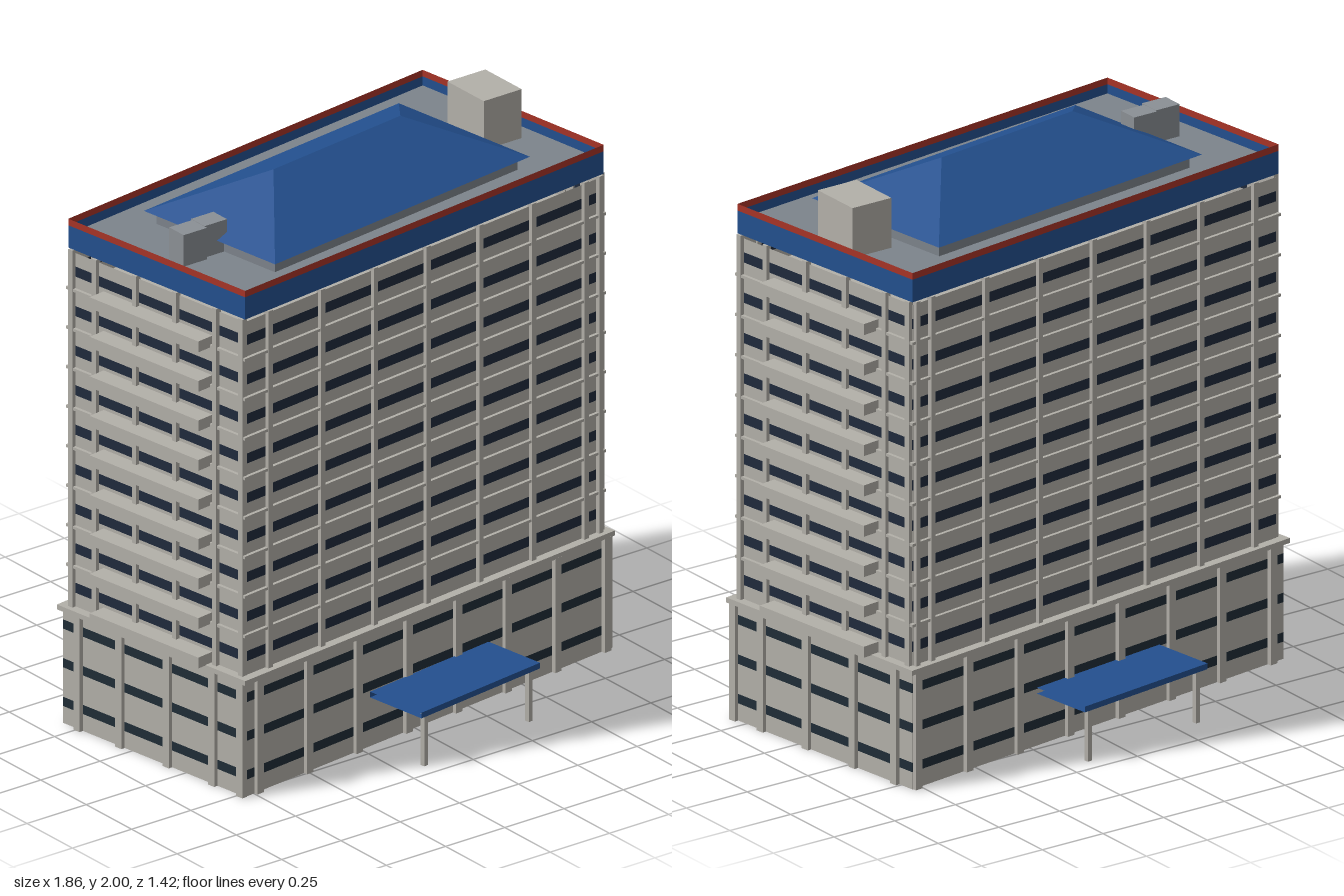
import * as THREE from 'three';

const mat = (name, color, side = THREE.FrontSide) => {
  const m = new THREE.MeshStandardMaterial({ color, side });
  m.name = name;
  return m;
};

export function createModel() {
  const model = new THREE.Group();
  model.name = 'officeTower';

  const concrete = mat('concrete', 0xb3b0a9, THREE.DoubleSide);
  const glass = mat('darkGlass', 0x1f2a3c, THREE.DoubleSide);
  const podiumGlass = mat('podiumGlass', 0x1f2d37, THREE.DoubleSide);
  const blue = mat('blueCladding', 0x23508f, THREE.DoubleSide);
  const red = mat('redTrim', 0xa83427, THREE.DoubleSide);
  const deckGrey = mat('roofDeck', 0x7d848c);
  const metal = mat('metalGrey', 0x8b9095);

  const TURN = THREE.MathUtils.degToRad(8);
  const C = Math.cos(TURN), S = Math.sin(TURN);

  const add = (name, geometry, material, parent = model) => {
    const mesh = new THREE.Mesh(geometry, material);
    mesh.name = name;
    parent.add(mesh);
    return mesh;
  };
  const group = (name, parent = model) => {
    const g = new THREE.Group();
    g.name = name;
    parent.add(g);
    return g;
  };

  // Slightly skewed footprint [x, z]: front left, front right, back right, back left, grown by d
  const footprint = (d) => [
    [-0.78, 0.512, -1, 1], [0.89, 0.308, 1, 1], [0.777, -0.541, 1, -1], [-0.896, -0.31, -1, -1],
  ].map(([x, z, u, v]) => [x + d * (u * C + v * S), z + d * (-u * S + v * C)]);

  // Flat-shaded geometry from a list of polygons (three or four corners each)
  const faces = (polys) => {
    const pos = [];
    for (const p of polys) {
      for (let i = 1; i < p.length - 1; i++) pos.push(...p[0], ...p[i], ...p[i + 1]);
    }
    const g = new THREE.BufferGeometry();
    g.setAttribute('position', new THREE.Float32BufferAttribute(pos, 3));
    g.computeVertexNormals();
    return g;
  };

  // Open wall ring following the footprint
  const ring = (d, y0, y1) => {
    const q = footprint(d);
    return faces(q.map(([ax, az], i) => {
      const [bx, bz] = q[(i + 1) % 4];
      return [[ax, y0, az], [bx, y0, bz], [bx, y1, bz], [ax, y1, az]];
    }));
  };

  // Solid slab following the footprint
  const slab = (d, y0, y1) => {
    const shape = new THREE.Shape(footprint(d).map(([x, z]) => new THREE.Vector2(x, -z)));
    return new THREE.ExtrudeGeometry(shape, { depth: y1 - y0, bevelEnabled: false })
      .rotateX(-Math.PI / 2).translate(0, y0, 0);
  };

  // Box standing on a footprint edge; t runs along the edge, out is the outward shift
  const onEdge = (name, parent, d, edge, t, w, depth, y0, y1, out) => {
    const q = footprint(d), [ax, az] = q[edge], [bx, bz] = q[(edge + 1) % 4];
    const angle = Math.atan2(az - bz, bx - ax);
    const m = add(name, new THREE.BoxGeometry(w, y1 - y0, depth), concrete, parent);
    m.position.set(
      ax + (bx - ax) * t + Math.sin(angle) * out, (y0 + y1) / 2,
      az + (bz - az) * t + Math.cos(angle) * out);
    m.rotation.y = angle;
  };

  const box = (name, material, x0, x1, y0, y1, z0, z1) =>
    add(name, new THREE.BoxGeometry(x1 - x0, y1 - y0, z1 - z0), material)
      .position.set((x0 + x1) / 2, (y0 + y1) / 2, (z0 + z1) / 2);

  // Wall made of alternating concrete and window rings
  const bandedWall = (parent, d, y0, top, count, pitch, sill, height, pane) => {
    let y = y0;
    for (let i = 0; i < count; i++) {
      const w = y0 + i * pitch + sill;
      add('wallBand', ring(d, y, w), concrete, parent);
      add('windowBand', ring(d, w, w + height), pane, parent);
      y = w + height;
    }
    add('wallBand', ring(d, y, top), concrete, parent);
  };

  // Podium: open underneath, with pilasters and a cornice
  const podium = group('podium');
  const PD = 0.012;
  bandedWall(podium, PD, 0, 0.42, 3, 0.1425, 0.062, 0.034, podiumGlass);
  const podiumFront = Array.from({ length: 8 }, (_, i) => 0.034 + i * 0.1365);
  const podiumSide = [0.015, 0.17, 0.42, 0.68, 0.91];
  for (let e = 0; e < 4; e++) {
    for (const t of e % 2 ? podiumSide : podiumFront) {
      onEdge('podiumColumn', podium, PD, e, e > 1 ? 1 - t : t, 0.03, 0.022, 0, 0.42, 0.004);
    }
  }
  add('cornice', slab(0.027, 0.418, 0.436), concrete, podium);

  // Tower: nine banded storeys with columns, floor ledges and end balconies
  const tower = group('tower');
  const TD = -0.006, BASE = 0.44, STOREY = 0.1455, TOP = 1.75;
  bandedWall(tower, TD, 0.436, 1.737, 9, STOREY, 0.05, 0.037, glass);
  const towerFront = Array.from({ length: 7 }, (_, i) => 0.063 + i * 0.148).concat(0.992);
  const towerSide = [0.01, 0.16, 0.39, 0.62, 0.85, 0.985];
  for (let e = 0; e < 4; e++) {
    for (const t of e % 2 ? towerSide : towerFront) {
      onEdge('towerColumn', tower, TD, e, e > 1 ? 1 - t : t, 0.02, 0.022, 0.436, TOP, 0.004);
    }
  }
  for (let i = 0; i < 9; i++) {
    const y = BASE + i * STOREY;
    if (i) add('floorLedge', slab(0.006, y - 0.006, y + 0.004), concrete, tower);
    for (const e of [1, 3]) {
      onEdge('balcony', tower, TD, e, 0.5, 0.51, 0.07, y - 0.006, y + 0.034, 0.032);
    }
  }

  // Parapet and roof deck
  add('parapet', ring(0, TOP, 1.832), blue);
  add('parapetTrim', ring(0, 1.832, 1.856), red);
  add('roofDeck', slab(-0.002, 1.78, 1.8), deckGrey);

  // Hipped roof on a recessed plinth
  const roof = group('hippedRoof');
  roof.rotation.y = TURN;
  const a = 0.609, b = 0.308, r = 0.303, y0 = 1.848, y1 = 2;
  add('hipFaces', faces([
    [[-a, y0, b], [a, y0, b], [r, y1, 0], [-r, y1, 0]],
    [[a, y0, -b], [-a, y0, -b], [-r, y1, 0], [r, y1, 0]],
    [[a, y0, b], [a, y0, -b], [r, y1, 0]],
    [[-a, y0, -b], [-a, y0, b], [-r, y1, 0]],
  ]), blue, roof);
  add('plinth', new THREE.BoxGeometry(2 * a - 0.06, 0.048, 2 * b - 0.06), deckGrey, roof)
    .position.y = 1.824;

  // Rooftop equipment
  box('liftHouse', concrete, 0.62, 0.78, 1.8, 1.98, -0.2, 0);
  box('coolingUnit', metal, -0.75, -0.652, 1.8, 1.916, 0.055, 0.135);
  box('coolingUnit', metal, -0.65, -0.556, 1.8, 1.916, 0.045, 0.12);

  // Entrance canopies at front and back: open-ended sleeve on two posts
  for (const turn of [0, Math.PI]) {
    const canopy = group('entranceCanopy');
    canopy.rotation.y = TURN + turn;
    const h = 0.283, n = 0.434, f = 0.676, lo = 0.188, hi = 0.209;
    add('canopyShell', faces([
      [[-h, hi, f], [h, hi, f], [h, hi, n], [-h, hi, n]],
      [[-h, lo, n], [h, lo, n], [h, lo, f], [-h, lo, f]],
      [[-h, lo, f], [h, lo, f], [h, hi, f], [-h, hi, f]],
      [[h, lo, n], [-h, lo, n], [-h, hi, n], [h, hi, n]],
    ]), blue, canopy);
    for (const s of [-1, 1]) {
      add('canopyPost', new THREE.BoxGeometry(0.018, lo, 0.018), concrete, canopy)
        .position.set(s * 0.25, lo / 2, 0.656);
    }
  }
  return model;
}
